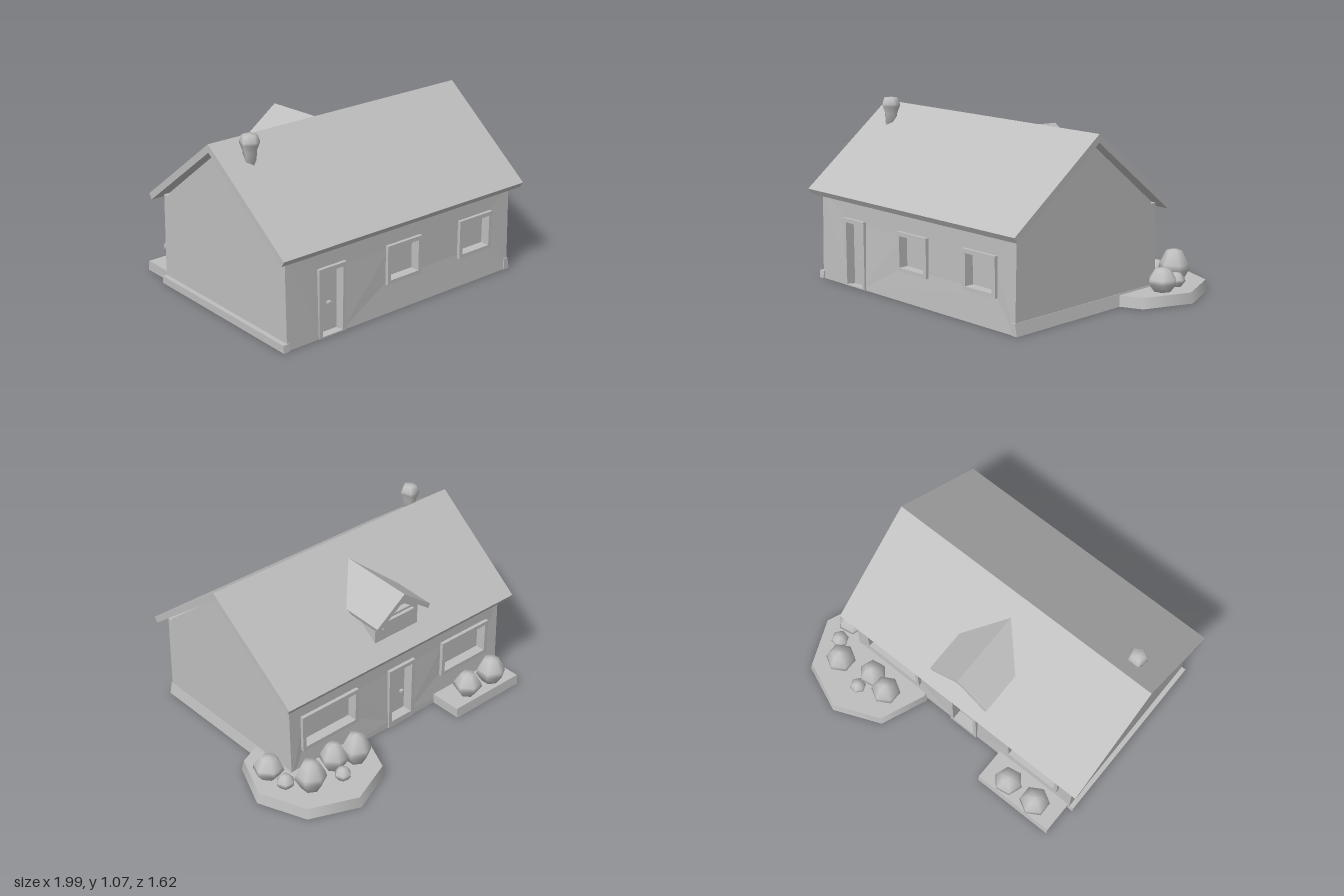
import * as THREE from 'three';

export function createModel() {
  const house = new THREE.Group();
  house.name = 'cottage';
  const plaster = new THREE.MeshStandardMaterial({ color: 0xbebebe });
  plaster.name = 'plainGrey';

  const add = (name, geometry, x = 0, y = 0, z = 0, parent = house) => {
    const mesh = new THREE.Mesh(geometry, plaster);
    mesh.name = name;
    mesh.position.set(x, y, z);
    parent.add(mesh);
    return mesh;
  };
  const shapeOf = (pts) => new THREE.Shape(pts.map(([x, y]) => new THREE.Vector2(x, y)));
  const pathOf = (pts) => new THREE.Path(pts.map(([x, y]) => new THREE.Vector2(x, y)));
  const rect = (x0, x1, y0, y1) => [[x0, y0], [x1, y0], [x1, y1], [x0, y1]];
  const alongZ = (pts, z0, z1, holes = []) => {
    const s = shapeOf(pts);
    holes.forEach((h) => s.holes.push(pathOf(h)));
    return new THREE.ExtrudeGeometry(s, { depth: z1 - z0, bevelEnabled: false }).translate(0, 0, z0);
  };
  // Section points are [z, y], swept from x0 to x1
  const alongX = (pts, x0, x1) =>
    new THREE.ExtrudeGeometry(shapeOf(pts.map(([z, y]) => [-z, y])), { depth: x1 - x0, bevelEnabled: false })
      .rotateY(Math.PI / 2).translate(x0, 0, 0);
  const box = (x0, x1, y0, y1, z0, z1) =>
    new THREE.BoxGeometry(x1 - x0, y1 - y0, z1 - z0).translate((x0 + x1) / 2, (y0 + y1) / 2, (z0 + z1) / 2);
  const mapVertices = (geometry, rule) => {
    const p = geometry.attributes.position;
    const v = new THREE.Vector3();
    for (let i = 0; i < p.count; i++) {
      rule(v.fromBufferAttribute(p, i));
      p.setXYZ(i, v.x, v.y, v.z);
    }
    geometry.computeVertexNormals();
    return geometry;
  };

  // Core of the house with both gables
  add('houseCore', alongX([[0.70, 0], [0.70, 0.565], [0.18, 0.965], [-0.33, 0.565], [-0.33, 0]], -0.93, 0.725));

  // Outer walls with openings, and raised frames around them
  const openings = {
    front: [[-0.69, -0.55, 0, 0.385], [-0.205, 0, 0.20, 0.385], [0.345, 0.555, 0.20, 0.385]],
    back: [[-0.195, -0.04, 0.04, 0.385], [-0.81, -0.47, 0.20, 0.385], [0.25, 0.62, 0.20, 0.385]],
  };
  const wallFaces = { front: [0.69, 0.738, 0.758], back: [-0.32, -0.372, -0.39] };
  for (const side of ['front', 'back']) {
    const [inner, outer, raised] = wallFaces[side];
    const z0 = Math.min(inner, outer), z1 = Math.max(inner, outer);
    const holes = openings[side].map((o) => rect(o[0], o[1], Math.max(o[2], 0.004), o[3]));
    const wall = alongZ(rect(-0.93, 0.725, 0, 0.55), z0, z1, holes);
    // Walls lean out slightly toward the ground
    mapVertices(wall, (v) => {
      if (v.z === inner || Math.abs(v.z - inner) < 1e-4) return;
      if (v.y < 0.1) v.z += Math.sign(outer) * 0.012;
    });
    add(side + 'Wall', wall);
    openings[side].forEach(([x0, x1, y0, y1], i) => {
      const e = 0.024, low = i === 0 ? 0.002 : y0 - e;
      const hole = rect(x0, x1, i === 0 ? Math.max(y0, 0.01) : y0, y1);
      const frame = alongZ(rect(x0 - e, x1 + e, low, y1 + e),
        Math.min(outer, raised) - 0.004, Math.max(outer, raised), [hole]);
      add(side + (i === 0 ? 'DoorFrame' : 'WindowFrame'), frame);
    });
    // Door knob
    const [dx0, dx1] = openings[side][0];
    const knobX = side === 'front' ? (dx0 + dx1) / 2 + 0.01 : dx0 + 0.03;
    add(side + 'DoorHandle', new THREE.BoxGeometry(0.022, 0.012, 0.024), knobX, 0.175, inner + Math.sign(inner) * 0.018);
  }

  // Low plinths at the ends
  add('rightPlinth', alongX([[0.76, 0], [0.755, 0.045], [-0.38, 0.045], [-0.385, 0]], -0.958, -0.92));
  add('leftPlinth', mapVertices(box(0.70, 0.742, 0, 0.07, -0.38, 0.755), (v) => {
    if (v.y > 0.03 && v.x > 0.71) v.x = 0.728;
  }));

  // Main roof, slightly longer at the ridge than at the eaves
  const roof = alongX([[0.805, 0.55], [0.18, 1.02], [-0.44, 0.55], [-0.42, 0.517], [0.18, 0.972], [0.785, 0.517]], -1, 0.79);
  mapVertices(roof, (v) => {
    v.x -= Math.sign(v.x) * 0.015 * (1.02 - v.y) / 0.5;
  });
  add('mainRoof', roof);

  // Dormer
  const dormer = new THREE.Group();
  dormer.name = 'dormer';
  house.add(dormer);
  const cx = -0.105;
  add('dormerBody', alongZ([[cx - 0.165, 0.6], [cx + 0.165, 0.6], [cx + 0.165, 0.775], [cx, 0.89], [cx - 0.165, 0.775]], -0.31, 0), 0, 0, 0, dormer);
  add('dormerFront', alongZ([[cx - 0.165, 0.6], [cx + 0.165, 0.6], [cx + 0.165, 0.768], [cx, 0.882], [cx - 0.165, 0.768]],
    -0.345, -0.305, [[[cx - 0.105, 0.765], [cx + 0.105, 0.765], [cx, 0.84]]]), 0, 0, 0, dormer);
  add('dormerSill', box(cx - 0.12, cx + 0.12, 0.70, 0.75, -0.366, -0.34), 0, 0, 0, dormer);
  const dormerRoof = alongZ([[cx - 0.205, 0.785], [cx - 0.195, 0.757], [cx, 0.895], [cx + 0.195, 0.757], [cx + 0.205, 0.785], [cx, 0.935]], -0.405, 0.065);
  add('dormerRoof', mapVertices(dormerRoof, (v) => {
    if (v.z < -0.3) v.y -= 0.022;
  }), 0, 0, 0, dormer);

  // Chimney, five sided and wider near the top
  const turned = (profile, sides) =>
    new THREE.LatheGeometry(profile.map(([r, y]) => new THREE.Vector2(r, y)), sides);
  add('chimney', turned([[0, 0], [0.036, 0], [0.04, 0.09], [0.058, 0.135], [0.057, 0.15], [0.043, 0.185], [0, 0.19]], 5), -0.815, 0.88, 0.3);

  // Eight sided flower bed and square planter
  add('flowerBed', new THREE.CylinderGeometry(0.395, 0.41, 0.062, 8).toNonIndexed(), 0.58, 0.031, -0.4);
  add('planter', mapVertices(box(-0.92, -0.395, 0, 0.06, -0.59, -0.36), (v) => {
    if (v.y > 0.03 && v.z < -0.5) v.z += 0.008;
  }));

  // Bushes: x, z, radius, height
  const bushes = [
    [0.375, -0.535, 0.09, 0.19], [0.51, -0.50, 0.085, 0.17], [0.54, -0.61, 0.05, 0.08],
    [0.725, -0.55, 0.092, 0.19], [0.835, -0.315, 0.09, 0.14], [0.825, -0.45, 0.055, 0.085],
    [-0.76, -0.505, 0.092, 0.17], [-0.56, -0.505, 0.088, 0.15],
  ];
  bushes.forEach(([x, z, r, h], i) => {
    const bush = turned([[0, 0], [0.55 * r, 0], [r, 0.38 * h], [0.92 * r, 0.55 * h], [0.5 * r, 0.95 * h], [0, h]], 6);
    add('bush', bush, x, 0.058, z).rotation.y = i * 0.7;
  });

  return house;
}
